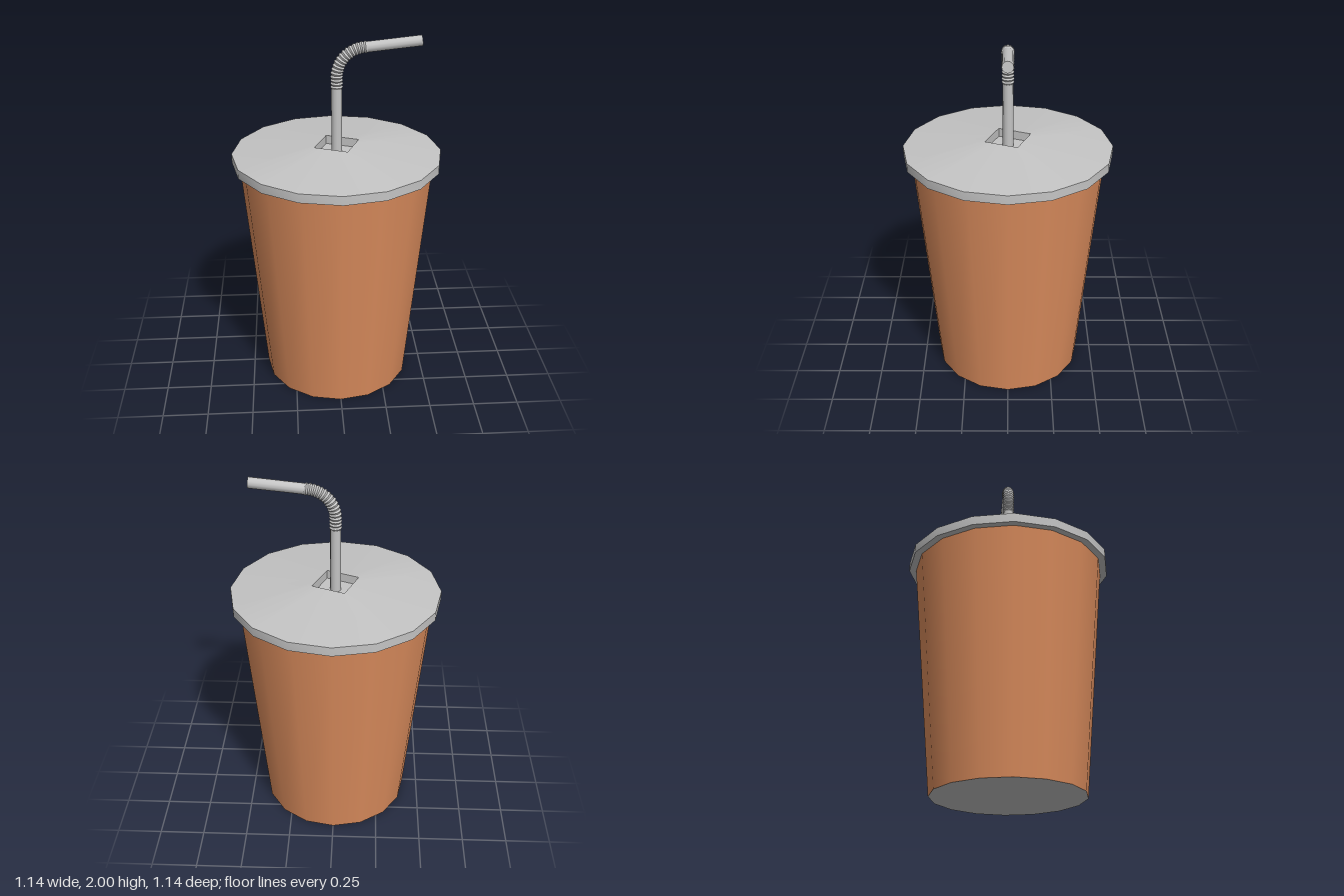
import * as THREE from 'three';
import { toCreasedNormals } from 'three/addons/utils/BufferGeometryUtils.js';

const SIDES = 16;
const orange = new THREE.MeshStandardMaterial({ name: 'orange cup', color: 0xd98b5c });
const grey = new THREE.MeshStandardMaterial({ name: 'grey plastic', color: 0xc4c4c4 });

function part(name, geometry, material) {
  const mesh = new THREE.Mesh(geometry, material);
  mesh.name = name;
  return mesh;
}

// Domed lid: turned profile whose innermost rings are squared off into the straw hole
function lidGeometry() {
  const hole = 0.134;
  const profile = [[0.5, 1.31], [0.572, 1.31], [0.572, 1.36], [hole, 1.408], [hole, 1.36], [0, 1.36]];
  const geo = new THREE.LatheGeometry(profile.map(([r, y]) => new THREE.Vector2(r, y)), SIDES);
  const pos = geo.attributes.position;
  for (let i = 0; i < pos.count; i++) {
    const x = pos.getX(i), z = pos.getZ(i), r = Math.hypot(x, z);
    if (r < 0.01 || r > 0.2) continue;
    // angle from the middle of the nearest side of the square
    const a = Math.atan2(z, x) - Math.PI / 8;
    const off = a - Math.round(a / (Math.PI / 2)) * (Math.PI / 2);
    const k = Math.cos(Math.PI / 4) / Math.cos(off);
    pos.setX(i, x * k);
    pos.setZ(i, z * k);
  }
  return toCreasedNormals(geo, 0.5);
}

// Centre line of the flexible section: up, round the bend, then a short run out
const BEND = { y: 1.72, rise: 0.065, radius: 0.155, angle: THREE.MathUtils.degToRad(84), run: 0.02 };
BEND.length = BEND.rise + BEND.radius * BEND.angle + BEND.run;

function bendAt(s) {
  const { y, rise, radius, angle } = BEND;
  const t = THREE.MathUtils.clamp((s - rise) / radius, 0, angle);
  const past = Math.max(0, s - rise - radius * angle);
  return {
    t,
    x: radius * (1 - Math.cos(t)) + past * Math.sin(t),
    y: y + Math.min(s, rise) + radius * Math.sin(t) + past * Math.cos(t),
  };
}

// Ribbed cylinder bent along the centre line
function bellowsGeometry() {
  const rows = 34;
  const geo = new THREE.CylinderGeometry(1, 1, BEND.length, 12, rows, true);
  const pos = geo.attributes.position;
  for (let i = 0; i < pos.count; i++) {
    const s = pos.getY(i) + BEND.length / 2;
    const row = Math.round((s / BEND.length) * rows);
    const r = row % 2 ? 0.034 : 0.028;
    const c = bendAt(s), dx = pos.getX(i) * r;
    pos.setXYZ(i, c.x + dx * Math.cos(c.t), c.y - dx * Math.sin(c.t), pos.getZ(i) * r);
  }
  return toCreasedNormals(geo, 0.6);
}

export function createModel() {
  const model = new THREE.Group();
  model.name = 'drinkCup';

  // Tapered cup wall and its base
  const wall = part('cupWall', new THREE.CylinderGeometry(0.533, 0.415, 1.31, SIDES, 1, true), orange);
  wall.position.y = 0.655;
  const base = part('cupBase', new THREE.CircleGeometry(0.415, SIDES), grey);
  base.rotation.x = Math.PI / 2;
  model.add(wall, base, part('lid', lidGeometry(), grey));

  // Bendy straw
  const straw = new THREE.Group();
  straw.name = 'straw';
  const stem = part('strawStem', new THREE.CylinderGeometry(0.029, 0.029, 0.38, 12), grey);
  stem.position.y = BEND.y - 0.19;
  const end = bendAt(BEND.length), tipLength = 0.287;
  const tip = part('strawTip', new THREE.CylinderGeometry(0.029, 0.029, tipLength, 12), grey);
  tip.rotation.z = -end.t;
  tip.position.set(
    end.x + Math.sin(end.t) * tipLength / 2,
    end.y + Math.cos(end.t) * tipLength / 2,
    0,
  );
  straw.add(stem, part('strawBellows', bellowsGeometry(), grey), tip);
  model.add(straw);
  return model;
}
